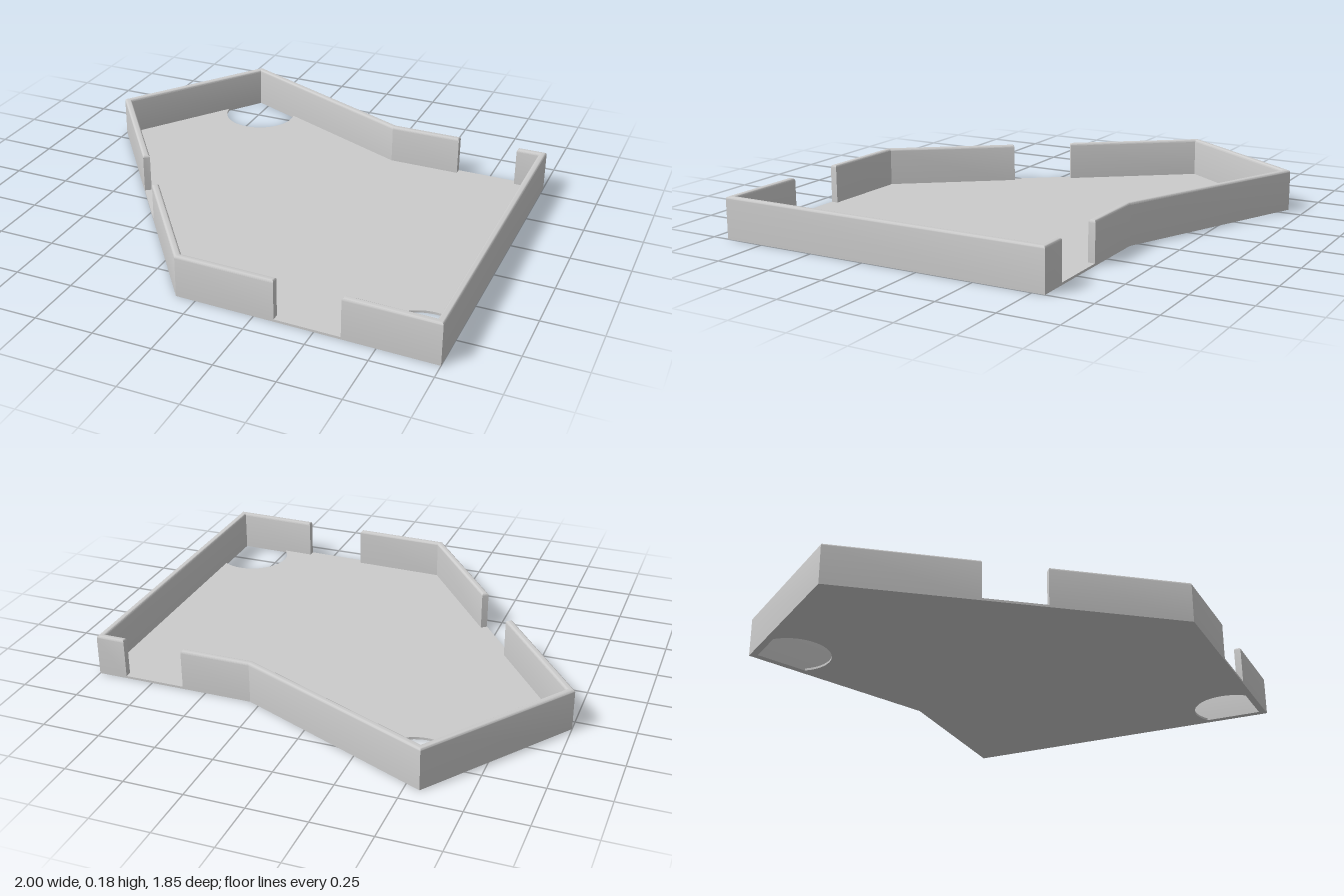
import * as THREE from 'three';
import { toCreasedNormals } from 'three/addons/utils/BufferGeometryUtils.js';

const V = (x, z) => new THREE.Vector2(x, z);
const HEIGHT = 0.18, WALL = 0.03, FLOOR = 0.01, ROUND = 0.01;

// Plan outline in (x, z)
const outer = [V(-1, -0.307), V(-0.56, -0.925), V(0.295, -0.553), V(1, -0.553), V(1, 0.925), V(-0.085, 0.9)];

const direction = (a, b) => b.clone().sub(a).normalize();
const inward = (d) => V(-d.y, d.x);

// Mitred inset of a closed outline
function inset(points, amount) {
  const n = points.length;
  return points.map((p, i) => {
    const n1 = inward(direction(points[(i + n - 1) % n], p));
    const n2 = inward(direction(p, points[(i + 1) % n]));
    return p.clone().addScaledVector(n1.clone().add(n2), amount / (1 + n1.dot(n2)));
  });
}

// Closed solid from stacked rings [{ y, points }], lowest first
function stack(rings) {
  const n = rings[0].points.length, pos = [], idx = [];
  for (const r of rings) for (const p of r.points) pos.push(p.x, r.y, p.y);
  for (let k = 0; k < rings.length - 1; k++) {
    for (let i = 0; i < n; i++) {
      const a = k * n + i, b = k * n + (i + 1) % n;
      idx.push(a, a + n, b + n, a, b + n, b);
    }
  }
  const top = (rings.length - 1) * n;
  for (const [a, b, c] of THREE.ShapeUtils.triangulateShape(rings[0].points, [])) {
    idx.push(a, b, c, top + a, top + c, top + b);
  }
  const g = new THREE.BufferGeometry();
  g.setAttribute('position', new THREE.Float32BufferAttribute(pos, 3));
  g.setIndex(idx);
  return toCreasedNormals(g, 0.4);
}

const inner = inset(outer, WALL);

// Doorway in the wall on one edge, between two x positions in travel order
function makeGap(edge, x1, x2) {
  const a = outer[edge], b = outer[(edge + 1) % outer.length];
  const n = inward(direction(a, b));
  const at = (x) => a.clone().lerp(b, (x - a.x) / (b.x - a.x));
  const start = at(x1), end = at(x2);
  return {
    edge, start, end,
    startIn: start.clone().addScaledVector(n, WALL),
    endIn: end.clone().addScaledVector(n, WALL),
  };
}

// Circular cut-out replacing an inner corner of the floor
function cornerArc(corner, centre, radius) {
  const hit = (i, side) => {
    const p = inner[i], d = direction(p, inner[(i + 1) % inner.length]);
    const rel = centre.clone().sub(p), t = rel.dot(d);
    const h = Math.sqrt(radius * radius - rel.cross(d) ** 2);
    return p.clone().addScaledVector(d, t + side * h).sub(centre).angle();
  };
  const from = hit(corner - 1, -1);
  let to = hit(corner, 1);
  if (to > from) to -= 2 * Math.PI;
  return Array.from({ length: 33 }, (_, i) => {
    const a = from + (to - from) * i / 32;
    return V(centre.x + radius * Math.cos(a), centre.y + radius * Math.sin(a));
  });
}

export function createModel() {
  const group = new THREE.Group();
  const material = new THREE.MeshStandardMaterial({ color: 0xcccccc });
  const add = (name, geometry) => {
    const mesh = new THREE.Mesh(geometry, material);
    mesh.name = name;
    group.add(mesh);
  };

  const backGap = makeGap(2, 0.605, 0.872);
  const frontGap = makeGap(4, 0.61, 0.335);
  const sideGap = makeGap(5, -0.45, -0.615);
  const sill = (g) => [g.startIn, g.start, g.end, g.endIn];

  // Thin floor with two corner cut-outs, reaching out under the doorways
  const plan = [
    inner[0], ...cornerArc(1, V(-0.49, -0.752), 0.167),
    inner[2], ...sill(backGap),
    inner[3], ...cornerArc(4, V(0.878, 0.784), 0.167), ...sill(frontGap),
    inner[5], ...sill(sideGap),
  ];
  add('floor', stack([{ y: 0, points: plan }, { y: FLOOR, points: plan }]));

  // Walls between doorways, with rounded top edges
  function addWall(name, from, corners, to) {
    const foot = [
      from.end, ...corners.map((i) => outer[i]), to.start,
      to.startIn, ...corners.map((i) => inner[i]).reverse(), from.endIn,
    ];
    const rings = [{ y: 0, points: foot }];
    for (let i = 0; i <= 4; i++) {
      const a = i / 4 * Math.PI / 2;
      rings.push({
        y: HEIGHT - ROUND + ROUND * Math.sin(a),
        points: inset(foot, ROUND * (1 - Math.cos(a))),
      });
    }
    add(name, stack(rings));
  }
  addWall('leftWall', backGap, [3, 4], frontGap);
  addWall('frontWall', frontGap, [5], sideGap);
  addWall('backWall', sideGap, [0, 1, 2], backGap);

  return group;
}
